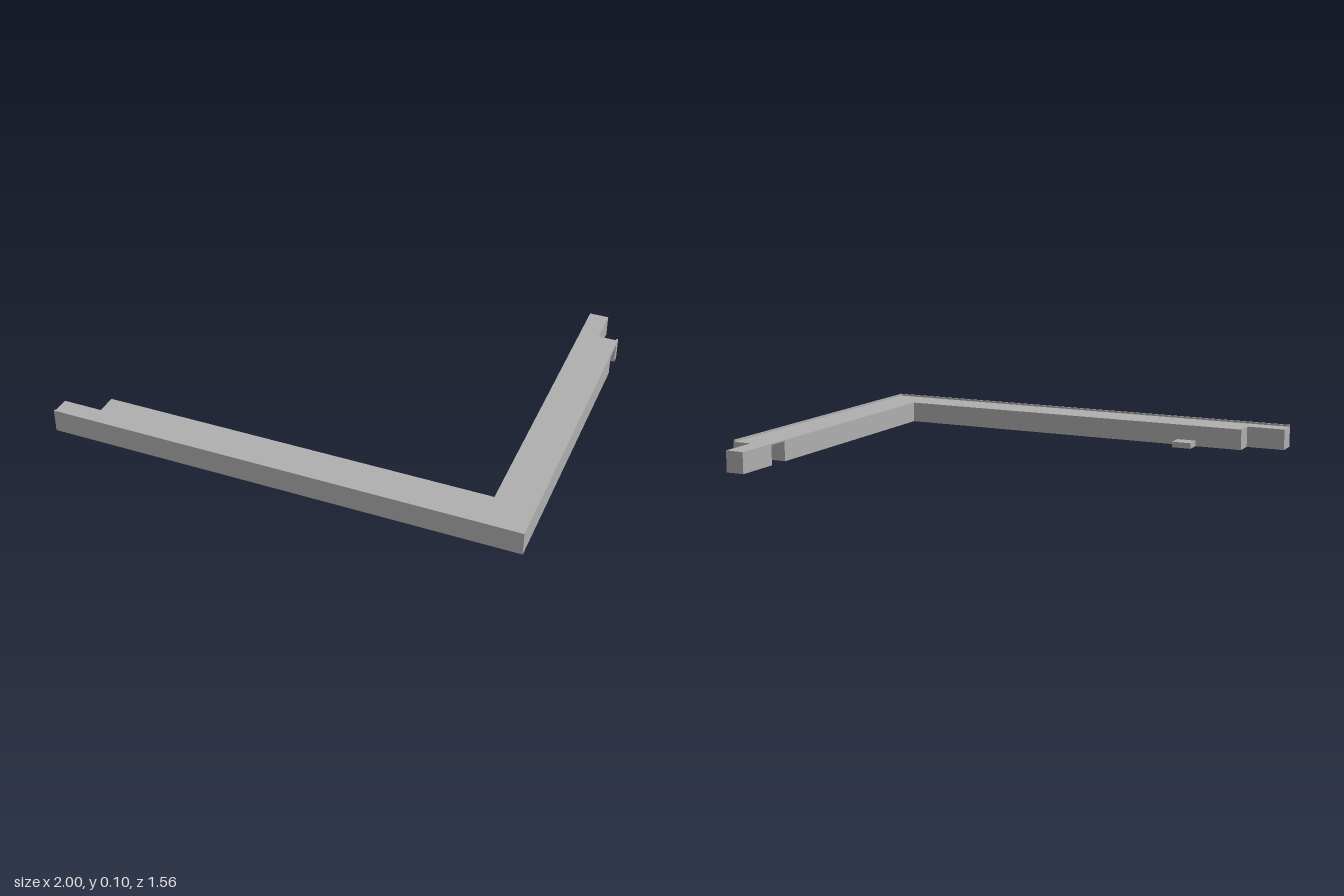
import * as THREE from 'three';

const BODY_TOP = 0.092, RIM_TOP = 0.1;

export function createModel() {
  const group = new THREE.Group();
  group.name = 'cornerFrame';
  const grey = new THREE.MeshStandardMaterial({ color: 0xb0b0b0 });
  grey.name = 'plain grey';

  // Extrudes a plan outline of [x, z] points from y0 up to y1
  function slab(name, outline, y0, y1) {
    const shape = new THREE.Shape(outline.map(([x, z]) => new THREE.Vector2(x, -z)));
    const geometry = new THREE.ExtrudeGeometry(shape, { depth: y1 - y0, bevelEnabled: false });
    geometry.rotateX(-Math.PI / 2).translate(0, y0, 0);
    const mesh = new THREE.Mesh(geometry, grey);
    mesh.name = name;
    group.add(mesh);
  }
  const rect = (x0, x1, z0, z1) => [[x0, z1], [x1, z1], [x1, z0], [x0, z0]];

  // L-shaped bar with a half-width joint at its right end
  slab('cornerBar', [
    [-1, 0.78], [1, 0.78], [1, -0.485], [0.83, -0.485], [0.83, 0.61],
    [-0.83, 0.61], [-0.83, 0.695], [-1, 0.695],
  ], 0, BODY_TOP);

  // Thin bridge over the slot near the back end
  slab('slotBridge', rect(0.83, 1, -0.58, -0.485), 0.087, BODY_TOP);

  // Back end beyond the slot, narrowing to the half-width joint
  slab('backJoint', [
    [0.83, -0.58], [1, -0.58], [1, -0.612], [0.913, -0.612], [0.913, -0.78], [0.83, -0.78],
  ], 0, BODY_TOP);

  // Raised lip along the two outer edges
  slab('outerRim', [
    [-1, 0.78], [1, 0.78], [1, -0.612], [0.993, -0.612], [0.993, 0.773], [-1, 0.773],
  ], BODY_TOP, RIM_TOP);

  // Small locking tab on the inner side
  slab('lockingTab', rect(-0.62, -0.533, 0.54, 0.61), 0, 0.025);

  return group;
}
